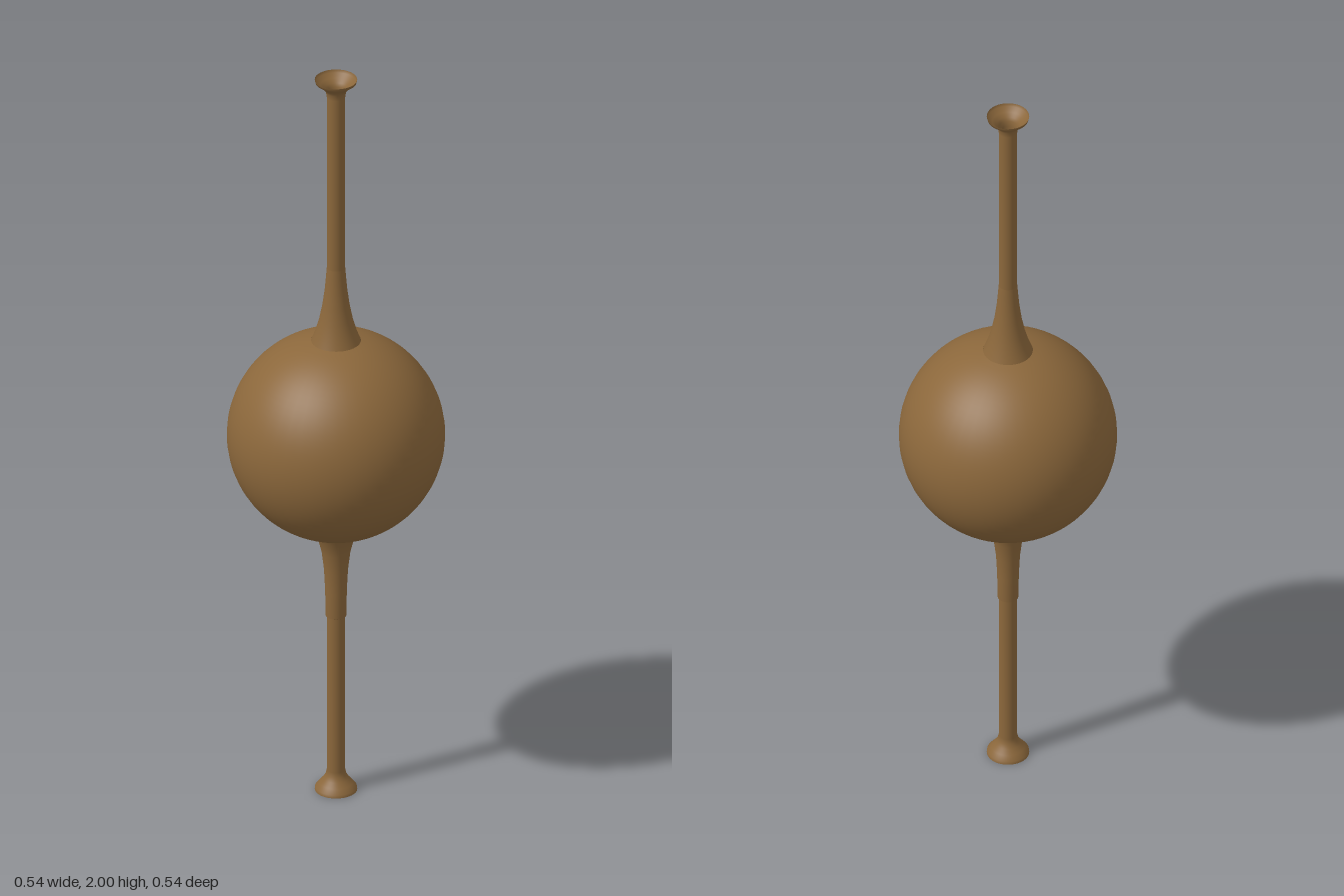
import * as THREE from 'three';

export function createModel() {
  const model = new THREE.Group();
  const wood = new THREE.MeshStandardMaterial({ color: 0x8b673b, side: THREE.DoubleSide });
  wood.name = 'brown wood';

  const turned = (name, points) => {
    const profile = points.map(([r, y]) => new THREE.Vector2(r, y));
    const mesh = new THREE.Mesh(new THREE.LatheGeometry(profile, 48), wood);
    mesh.name = name;
    model.add(mesh);
  };

  // Hollow ball, open at both poles where the necks join
  const R = 0.272, open = Math.asin(0.062 / R), ball = [];
  for (let i = 0; i <= 40; i++) {
    const a = Math.PI - open - (Math.PI - 2 * open) * i / 40;
    ball.push([R * Math.sin(a), 1 + R * Math.cos(a)]);
  }
  turned('ball', ball);

  // Lower open tube with flared foot and a sleeve widening into the ball
  turned('lowerTube', [
    [0.053, 0], [0.052, 0.008], [0.042, 0.02], [0.032, 0.032], [0.026, 0.043], [0.023, 0.056], [0.023, 0.49],
  ]);
  turned('lowerFlare', [
    [0.023, 0.488], [0.026, 0.49], [0.027, 0.56], [0.03, 0.62], [0.036, 0.67], [0.046, 0.71], [0.062, 0.736],
  ]);

  // Upper open tube, flaring out of the ball and again at the mouth
  turned('upperFlare', [
    [0.062, 1.264], [0.052, 1.29], [0.042, 1.325], [0.034, 1.365], [0.028, 1.41], [0.025, 1.445], [0.023, 1.47],
  ]);
  turned('upperTube', [
    [0.023, 1.47], [0.023, 1.95], [0.025, 1.965], [0.03, 1.974], [0.039, 1.983], [0.051, 1.992], [0.053, 2],
  ]);

  return model;
}
